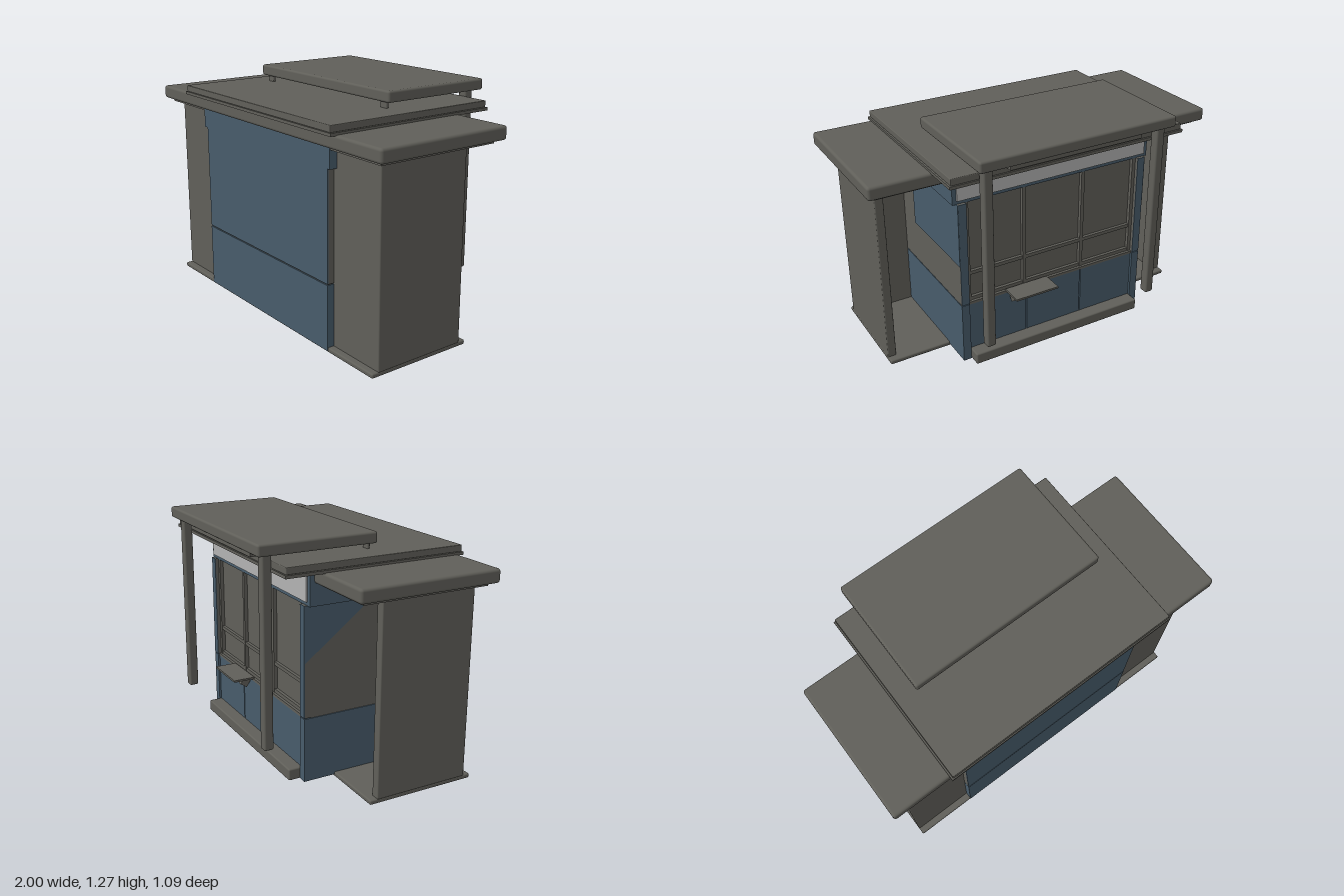
import * as THREE from 'three';
import { RoundedBoxGeometry } from 'three/addons/geometries/RoundedBoxGeometry.js';

const mat = (name, color, side = THREE.FrontSide) => {
  const m = new THREE.MeshStandardMaterial({ color, side });
  m.name = name;
  return m;
};

export function createModel() {
  const model = new THREE.Group();
  model.name = 'kiosk';
  const grey = mat('warm grey', 0x605f59);
  const blue = mat('slate blue', 0x485c6b);
  const blueSheet = mat('slate blue sheet', 0x485c6b, THREE.DoubleSide);
  const pale = mat('pale grey', 0xb2b2b2);

  // Box given by its extents; r rounds the edges
  const box = (name, m, [x0, x1], [y0, y1], [z0, z1], r = 0) => {
    const w = x1 - x0, h = y1 - y0, d = z1 - z0;
    const g = r ? new RoundedBoxGeometry(w, h, d, 2, r) : new THREE.BoxGeometry(w, h, d);
    const mesh = new THREE.Mesh(g, m);
    mesh.name = name;
    mesh.position.set((x0 + x1) / 2, (y0 + y1) / 2, (z0 + z1) / 2);
    model.add(mesh);
    return mesh;
  };
  const span = (s, a, b) => (s > 0 ? [a, b] : [-b, -a]);

  // Floor and the two side bays, open at the back
  box('basePlate', grey, [-0.91, 0.91], [0, 0.025], [-0.128, 0.477], 0.008);
  for (const s of [-1, 1]) {
    box('bayFrontWall', grey, span(s, 0.55, 0.9), [0.02, 1.05], [0.39, 0.44]);
    box('baySideWall', grey, span(s, 0.862, 0.91), [0.02, 1.05], [-0.087, 0.44], 0.006);
  }

  // Central cabin
  box('lowerCabin', blue, [-0.56, 0.56], [0.012, 0.355], [-0.28, 0.472]);
  box('upperCabin', grey, [-0.56, 0.56], [0.35, 0.95], [-0.265, 0.472]);
  box('lowerFrontPanel', blue, [-0.565, 0.565], [0.008, 0.357], [0.47, 0.479]);
  box('upperFrontPanel', blue, [-0.565, 0.565], [0.363, 0.95], [0.471, 0.478]);
  box('lintel', blue, [-0.588, 0.588], [0.945, 1.128], [-0.288, 0.481]);
  for (const s of [-1, 1]) {
    box('lowerSideWall', blue, span(s, 0.52, 0.565), [0.012, 0.357], [-0.305, 0.472]);
    box('upperSideWall', grey, span(s, 0.52, 0.565), [0.362, 0.947], [-0.302, 0.472]);
    box('cornerStrip', blue, span(s, 0.52, 0.565), [0.362, 0.947], [-0.306, -0.302]);
  }

  // Painted areas on the cabin sides
  box('sidePaint', blue, [0.564, 0.568], [0.597, 0.947], [-0.305, 0.245]);
  const tri = new THREE.Shape([[-0.305, 0.65], [0.09, 0.946], [-0.305, 0.946]].map(p => new THREE.Vector2(...p)));
  const paint = new THREE.Mesh(new THREE.ShapeGeometry(tri), blueSheet);
  paint.name = 'sidePaint';
  paint.rotation.y = -Math.PI / 2;
  paint.position.x = -0.567;
  model.add(paint);

  // Back: cupboard fronts, sill, window bars and rolled shutter
  for (let i = -1; i <= 1; i++) {
    const c = i * 0.347;
    box('cupboardFront', blue, [c - 0.17, c + 0.17], [0.03, 0.35], [-0.295, -0.278]);
  }
  box('counterSill', grey, [-0.52, 0.52], [0.35, 0.365], [-0.297, -0.26]);
  for (const x of [-0.51, -0.18, 0.18, 0.51])
    box('windowBar', grey, [x - 0.01, x + 0.01], [0.362, 0.947], [-0.285, -0.26]);
  for (const y of [0.375, 0.53])
    box('windowRail', grey, [-0.52, 0.52], [y - 0.01, y + 0.01], [-0.282, -0.26]);
  box('shutter', pale, [-0.565, 0.565], [0.965, 1.128], [-0.297, -0.287]);
  box('footLedge', grey, [-0.52, 0.52], [0.012, 0.075], [-0.37, -0.28], 0.008);

  // Serving shelf on two tilted brackets
  box('shelf', grey, [0.045, 0.3], [0.361, 0.372], [-0.412, -0.29]);
  for (const x of [0.09, 0.27]) {
    const b = box('shelfBracket', grey, [x - 0.012, x + 0.012], [0.315, 0.358], [-0.352, -0.308]);
    b.rotation.x = 0.6;
  }

  // Stepped roofs
  box('roofTrim', grey, [-0.955, 0.955], [1.04, 1.065], [-0.22, 0.48]);
  box('mainRoof', grey, [-1, 1], [1.058, 1.13], [-0.262, 0.518], 0.015);
  box('middleRoofTrim', grey, [-0.678, 0.678], [1.126, 1.142], [-0.463, 0.544]);
  box('middleRoof', grey, [-0.67, 0.67], [1.142, 1.177], [-0.457, 0.539], 0.004);
  box('roofSpacer', grey, [-0.38, 0.38], [1.17, 1.215], [-0.5, -0.22]);
  box('topRoof', grey, [-0.563, 0.563], [1.209, 1.269], [-0.545, 0.105], 0.012);

  // Hanging rear posts and small front supports under the top roof
  for (const s of [-1, 1]) {
    box('rearPost', grey, span(s, 0.475, 0.525), [0.21, 1.215], [-0.507, -0.455], 0.01);
    box('frontSupport', grey, span(s, 0.477, 0.523), [1.172, 1.212], [0.07, 0.086], 0.005);
  }
  return model;
}
